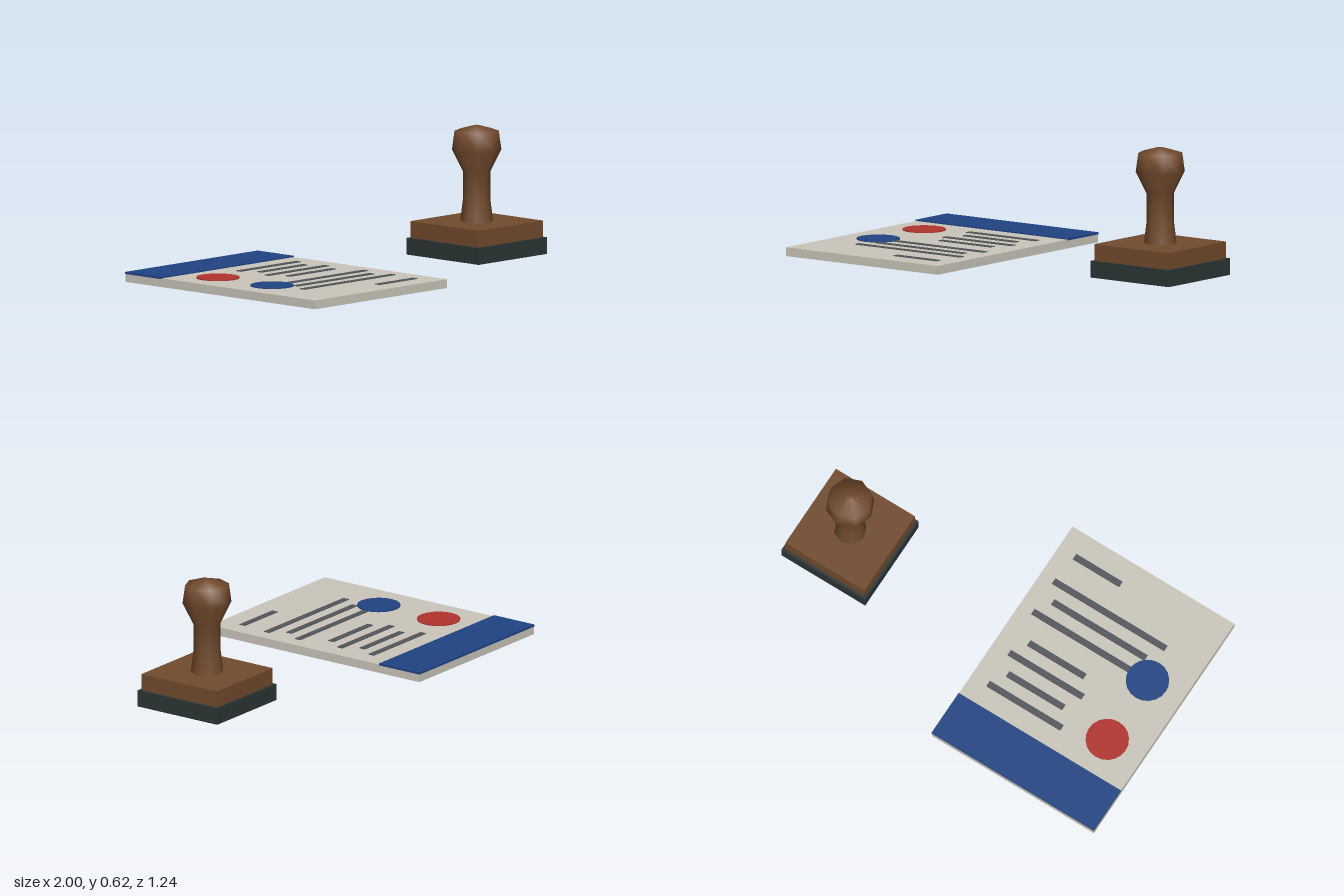
import * as THREE from 'three';

const mat = (name, color) => {
  const m = new THREE.MeshStandardMaterial({ color });
  m.name = name;
  return m;
};

export function createModel() {
  const paper = mat('paper', 0xcac6ba);
  const blue = mat('blue', 0x204384);
  const red = mat('red', 0xb2332c);
  const ink = mat('ink', 0x53565a);
  const wood = mat('wood', 0x714a2d);
  const rubber = mat('rubber', 0x2c3535);

  const model = new THREE.Group();
  model.name = 'stampAndDocument';

  const add = (parent, name, geometry, material, x, y, z) => {
    const mesh = new THREE.Mesh(geometry, material);
    mesh.name = name;
    mesh.position.set(x, y, z);
    parent.add(mesh);
    return mesh;
  };
  // Box given by its x, y and z ranges
  const box = (parent, name, material, [x0, x1], [y0, y1], [z0, z1]) =>
    add(parent, name, new THREE.BoxGeometry(x1 - x0, y1 - y0, z1 - z0), material,
      (x0 + x1) / 2, (y0 + y1) / 2, (z0 + z1) / 2);

  // Document slab with a coloured header
  const doc = new THREE.Group();
  doc.name = 'document';
  model.add(doc);
  box(doc, 'page', paper, [-1, -0.09], [0, 0.042], [-0.617, 0.617]);
  box(doc, 'header', blue, [-1.001, -0.089], [0.038, 0.048], [-0.619, -0.381]);

  // Printed text lines: x start, x end, z centre
  [
    [-0.595, -0.18, -0.265],
    [-0.547, -0.232, -0.174],
    [-0.595, -0.18, -0.08],
    [-0.547, -0.232, 0.011],
    [-0.793, -0.163, 0.155],
    [-0.74, -0.216, 0.246],
    [-0.793, -0.163, 0.337],
    [-0.44, -0.18, 0.494],
  ].forEach(([x0, x1, z], i) =>
    box(doc, `textLine${i + 1}`, ink, [x0, x1], [0.04, 0.0452], [z - 0.016, z + 0.016]));

  // Round seals
  const seal = new THREE.CylinderGeometry(0.103, 0.103, 0.006, 20);
  add(doc, 'redSeal', seal, red, -0.807, 0.0445, -0.198);
  add(doc, 'blueSeal', seal, blue, -0.807, 0.0445, 0.155);

  // Hand stamp: rubber pad, wooden block, turned handle
  const stamp = new THREE.Group();
  stamp.name = 'handStamp';
  stamp.position.x = 0.765;
  model.add(stamp);
  box(stamp, 'rubberPad', rubber, [-0.235, 0.235], [0, 0.08], [-0.235, 0.235]);
  box(stamp, 'woodBlock', wood, [-0.222, 0.222], [0.08, 0.16], [-0.222, 0.222]);
  const profile = [
    [0.078, 0.16], [0.065, 0.265], [0.065, 0.397], [0.117, 0.503],
    [0.105, 0.592], [0.015, 0.618], [0, 0.618],
  ].map(([r, y]) => new THREE.Vector2(r, y));
  add(stamp, 'handle', new THREE.LatheGeometry(profile, 8), wood, 0, 0, 0);

  return model;
}
